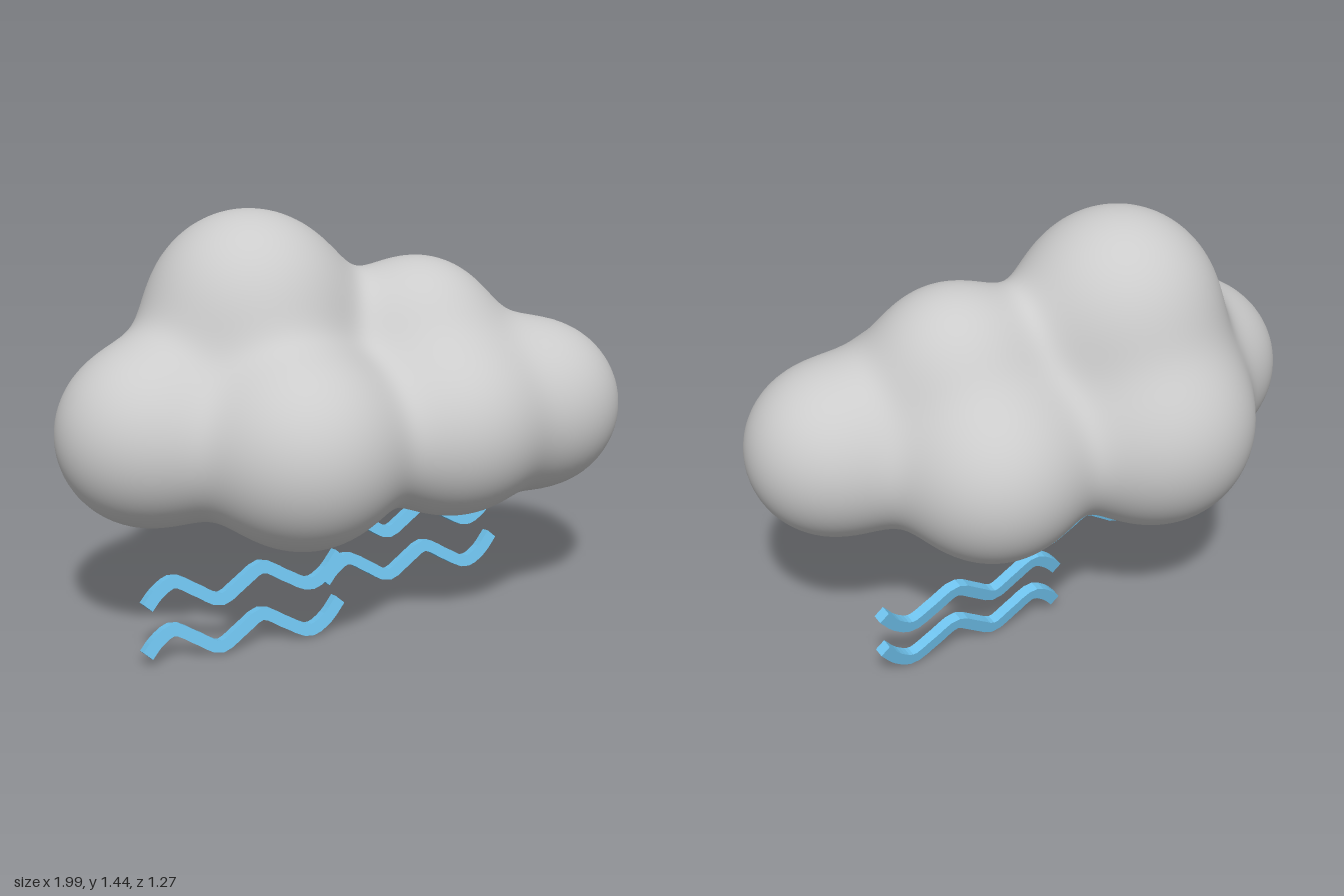
import * as THREE from 'three';

// Cloud puffs: centre x, y, z and radius
const PUFFS = [
  [-0.69, 0.74, 0.0, 0.305],
  [0.70, 0.73, 0.185, 0.295],
  [-0.26, 0.71, 0.31, 0.325],
  [0.30, 0.72, 0.295, 0.295],
  [-0.30, 0.72, -0.285, 0.345],
  [0.30, 0.69, -0.19, 0.31],
  [-0.28, 1.105, -0.09, 0.345],
  [0.30, 1.0, 0.04, 0.26],
];
const BLEND = 0.08;

// Smoothly blended distance to all puffs
function cloudDistance(p) {
  let sum = 0;
  for (const [x, y, z, r] of PUFFS) {
    sum += Math.exp(-(Math.hypot(p.x - x, p.y - y, p.z - z) - r) / BLEND);
  }
  return -BLEND * Math.log(sum);
}

function cloudNormal(p) {
  const e = 0.002;
  const slope = (axis) => {
    const a = p.clone(), b = p.clone();
    a[axis] += e;
    b[axis] -= e;
    return cloudDistance(a) - cloudDistance(b);
  };
  return new THREE.Vector3(slope('x'), slope('y'), slope('z')).normalize();
}

// A sphere shrunk from outside onto the blended puffs
function cloudGeometry() {
  const geometry = new THREE.SphereGeometry(1, 200, 130);
  const position = geometry.attributes.position;
  const normal = geometry.attributes.normal;
  const centre = new THREE.Vector3(-0.03, 0.8, 0.02);
  const direction = new THREE.Vector3();
  const p = new THREE.Vector3();
  for (let i = 0; i < position.count; i++) {
    direction.fromBufferAttribute(position, i).normalize();
    let reach = 1.4;
    for (let step = 0; step < 120; step++) {
      p.copy(centre).addScaledVector(direction, reach);
      const d = cloudDistance(p);
      if (d < 0.0003 || reach < 0.05) break;
      reach -= d * 0.9;
    }
    const n = cloudNormal(p);
    position.setXYZ(i, p.x, p.y, p.z);
    normal.setXYZ(i, n.x, n.y, n.z);
  }
  return geometry;
}

// Wavy ribbon: a centre line thickened in its plane, then extruded
function waveGeometry() {
  const line = new THREE.CatmullRomCurve3([
    [-0.354, -0.029], [-0.315, 0.012], [-0.255, 0.043], [-0.175, 0], [-0.095, -0.043],
    [-0.015, 0], [0.065, 0.043], [0.147, 0], [0.235, -0.043], [0.30, -0.012], [0.354, 0.046],
  ].map(([x, y]) => new THREE.Vector3(x, y, 0)));
  const half = 0.021, steps = 32;
  const upper = [], lower = [];
  for (let i = 0; i <= steps; i++) {
    const c = line.getPoint(i / steps);
    const t = line.getTangent(i / steps);
    upper.push(new THREE.Vector2(c.x - t.y * half, c.y + t.x * half));
    lower.push(new THREE.Vector2(c.x + t.y * half, c.y - t.x * half));
  }
  const shape = new THREE.Shape([...lower, ...upper.reverse()]);
  const depth = 0.038;
  const geometry = new THREE.ExtrudeGeometry(shape, { depth, bevelEnabled: false });
  return geometry.translate(0, 0, -depth / 2);
}

export function createModel() {
  const model = new THREE.Group();
  model.name = 'cloudWithWaves';

  const cloud = new THREE.Mesh(cloudGeometry(), new THREE.MeshStandardMaterial({ color: 0xcccccc }));
  cloud.name = 'cloud';
  model.add(cloud);

  // Two tilted pairs of waves: left one at the back, right one at the front
  const blue = new THREE.MeshStandardMaterial({ color: 0x6fc3ee });
  const geometry = waveGeometry();
  for (const [name, x, z] of [['right', -0.418, 0.17], ['left', 0.39, -0.175]]) {
    const pair = new THREE.Group();
    pair.name = name + 'Waves';
    for (const [part, dx, y, dz] of [['upperWave', 0, 0.231, 0], ['lowerWave', -0.014, 0.073, 0.029]]) {
      const wave = new THREE.Mesh(geometry, blue);
      wave.name = part;
      wave.position.set(x + dx, y, z + dz);
      wave.rotation.x = -0.175;
      pair.add(wave);
    }
    model.add(pair);
  }
  return model;
}
